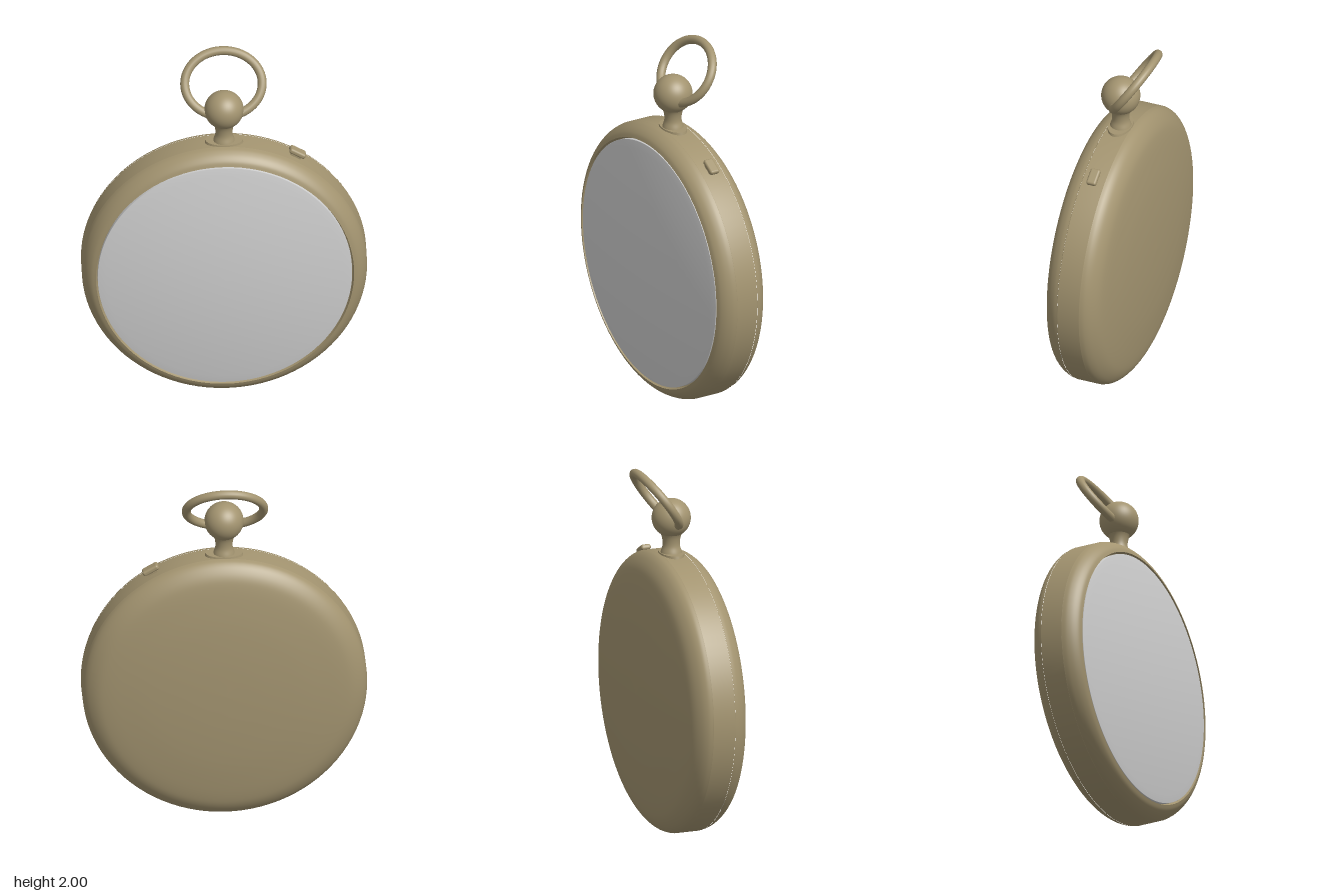
import * as THREE from 'three';
import { RoundedBoxGeometry } from 'three/addons/geometries/RoundedBoxGeometry.js';

const R = 0.762, CY = 0.765;

export function createModel() {
  const model = new THREE.Group();
  const brass = new THREE.MeshStandardMaterial({ color: 0xa39470 });
  brass.name = 'brass';
  const glass = new THREE.MeshStandardMaterial({ color: 0xd0d0d0 });
  glass.name = 'paleGlass';

  const add = (name, geometry, material = brass) => {
    const mesh = new THREE.Mesh(geometry, material);
    mesh.name = name;
    model.add(mesh);
    return mesh;
  };
  const smooth = (pts, n) =>
    new THREE.SplineCurve(pts.map(([r, h]) => new THREE.Vector2(r, h))).getPoints(n);
  // Disc parts: profile of [radius, z] turned about the z axis, from back to front
  const disc = (name, points, material) => {
    const g = new THREE.LatheGeometry(points, 96);
    g.rotateX(Math.PI / 2);
    g.translate(0, CY, 0);
    return add(name, g, material);
  };
  const line = (pts) => pts.map(([r, h]) => new THREE.Vector2(r, h));

  // Case: domed back, straight band, rounded bezel and its inner lip
  disc('backCover', smooth([[0, -0.205], [0.2, -0.201], [0.4, -0.189], [0.55, -0.172], [0.64, -0.157],
    [0.69, -0.141], [0.73, -0.115], [0.753, -0.088], [R, -0.063]], 36));
  disc('caseBand', line([[R - 0.004, -0.064], [R, -0.061], [R, 0.061], [R - 0.004, 0.064]]));
  disc('bezel', smooth([[R, 0.063], [0.755, 0.088], [0.738, 0.117], [0.715, 0.139], [0.69, 0.15]], 20));
  disc('bezelLip', line([[0.69, 0.15], [0.685, 0.125], [0.676, 0.125]]));

  // Domed crystal
  const dome = [[0.68, 0.125], [0.68, 0.146]];
  for (let i = 0; i <= 16; i++) {
    const t = 1 - i / 16;
    dome.push([0.679 * t, 0.148 + 0.055 * (1 - t * t)]);
  }
  disc('crystal', line(dome), glass);

  // Pendant: flared neck, seated on a small foot, with a ball on top
  add('neck', new THREE.LatheGeometry(smooth([[0.062, 1.515], [0.056, 1.54], [0.047, 1.57],
    [0.047, 1.6], [0.054, 1.63], [0.07, 1.66]], 24), 40));
  const foot = add('neckFoot', new THREE.CylinderGeometry(0.062, 0.066, 0.025, 40));
  foot.position.y = 1.522;
  foot.scale.x = 1.6;
  const ball = add('crownBall', new THREE.SphereGeometry(0.105, 48, 32));
  ball.position.y = 1.725;

  // Bow: oval loop leaning backwards through the ball
  const loop = [];
  for (let i = 0; i < 32; i++) {
    const a = (i / 32) * Math.PI * 2;
    const y = 1.835 + 0.145 * Math.sin(a);
    loop.push(new THREE.Vector3(0.207 * Math.cos(a), y, -0.69 * (y - 1.712)));
  }
  add('bow', new THREE.TubeGeometry(new THREE.CatmullRomCurve3(loop, true), 96, 0.024, 16, true));

  // Release button on the left shoulder of the band
  const button = new THREE.Group();
  button.name = 'releaseButton';
  const stem = new THREE.Mesh(new THREE.BoxGeometry(0.06, 0.04, 0.04), brass);
  stem.name = 'buttonStem';
  stem.position.y = R + 0.002;
  const cap = new THREE.Mesh(new RoundedBoxGeometry(0.095, 0.03, 0.056, 3, 0.012), brass);
  cap.name = 'buttonCap';
  cap.position.y = R + 0.024;
  button.add(stem, cap);
  button.position.y = CY;
  button.rotation.z = -Math.PI / 6;
  model.add(button);

  return model;
}
